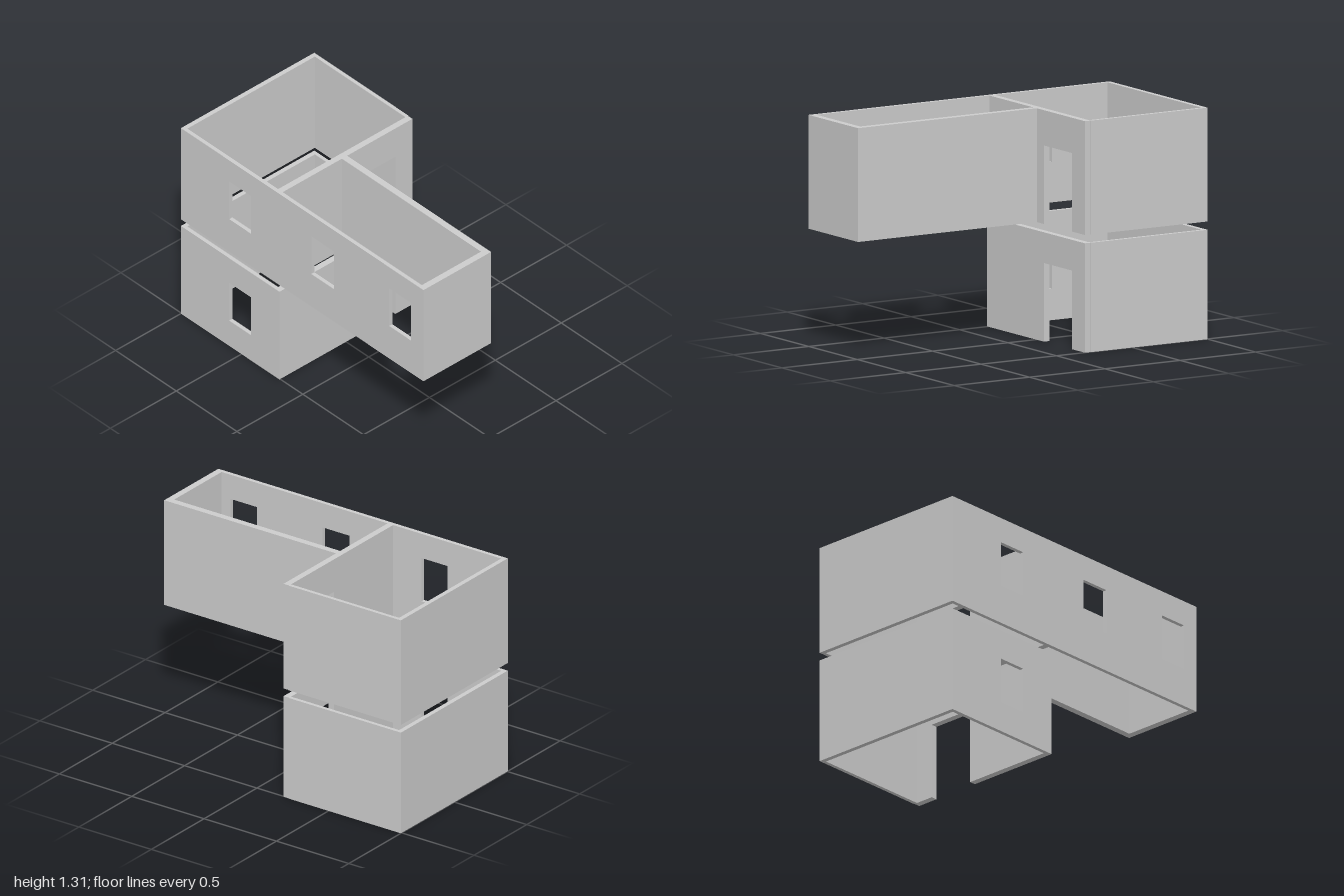
import * as THREE from 'three';

const material = new THREE.MeshStandardMaterial({ color: 0xcccccc, flatShading: true });

// Outline of a wall from (a0, y0) to (a1, y1); a door is a notch in the foot, windows are holes
function wallShape(a0, a1, y0, y1, windows = [], door = null) {
  const pts = [[a0, y0]];
  if (door) pts.push([door[0], y0], [door[0], door[2]], [door[1], door[2]], [door[1], y0]);
  pts.push([a1, y0], [a1, y1], [a0, y1]);
  const shape = new THREE.Shape(pts.map(([x, y]) => new THREE.Vector2(x, y)));
  for (const [l, r, b, t] of windows) {
    shape.holes.push(new THREE.Path(
      [[l, b], [l, t], [r, t], [r, b]].map(([x, y]) => new THREE.Vector2(x, y))));
  }
  return shape;
}

// Wall running along x, between depths z0 and z1
function wallX(name, x0, x1, z0, z1, y0, y1, windows) {
  const geo = new THREE.ExtrudeGeometry(wallShape(x0, x1, y0, y1, windows),
    { depth: z1 - z0, bevelEnabled: false });
  geo.translate(0, 0, z0);
  const mesh = new THREE.Mesh(geo, material);
  mesh.name = name;
  return mesh;
}

// Wall running along z, between x0 and x1 (drawn along -z, then turned a quarter)
function wallZ(name, x0, x1, z0, z1, y0, y1, door) {
  const turned = door && [-door[1], -door[0], door[2]];
  const geo = new THREE.ExtrudeGeometry(wallShape(-z1, -z0, y0, y1, [], turned),
    { depth: x1 - x0, bevelEnabled: false });
  geo.rotateY(Math.PI / 2);
  geo.translate(x0, 0, 0);
  const mesh = new THREE.Mesh(geo, material);
  mesh.name = name;
  return mesh;
}

export function createModel() {
  const model = new THREE.Group();
  model.name = 'twoStoreyWalls';

  const back = -0.507, front = 0.505, inFront = 0.481;
  const midIn = -0.225, midOut = -0.187;
  const win = (l, r, y) => [l, r, y, y + 0.267];

  const storeys = [
    { name: 'lowerStorey', y0: 0, y1: 0.62, sill: 0.179, doorTop: 0.446, wing: false },
    { name: 'upperStorey', y0: 0.667, y1: 1.312, sill: 0.896, doorTop: 1.112, wing: true },
  ];

  for (const { name, y0, y1, sill, doorTop, wing } of storeys) {
    const storey = new THREE.Group();
    storey.name = name;

    // Front wall with its windows, spanning the wing on the upper storey
    const windows = [win(-0.602, -0.42, sill)];
    if (wing) windows.push(win(0.075, 0.262, sill), win(0.717, 0.898, sill));
    storey.add(wallX('frontWall', -1, wing ? 1 : midOut, inFront, front, y0, y1, windows));

    // Remaining sides of the main room, doorway in the wall facing +x
    storey.add(wallX('backWall', -1, midIn, back, -0.485, y0, y1));
    storey.add(wallZ('outerSideWall', -1, -0.972, -0.485, inFront, y0, y1));
    storey.add(wallZ('doorWall', midIn, midOut, -0.504, inFront, y0, y1,
      [-0.373, -0.08, doorTop]));

    // Narrow wing overhanging to the +x side
    if (wing) {
      storey.add(wallX('wingBackWall', midOut, 1, -0.008, 0.032, y0, y1));
      storey.add(wallZ('wingEndWall', 0.96, 1, 0.032, inFront, y0, y1));
    }
    model.add(storey);
  }
  return model;
}
